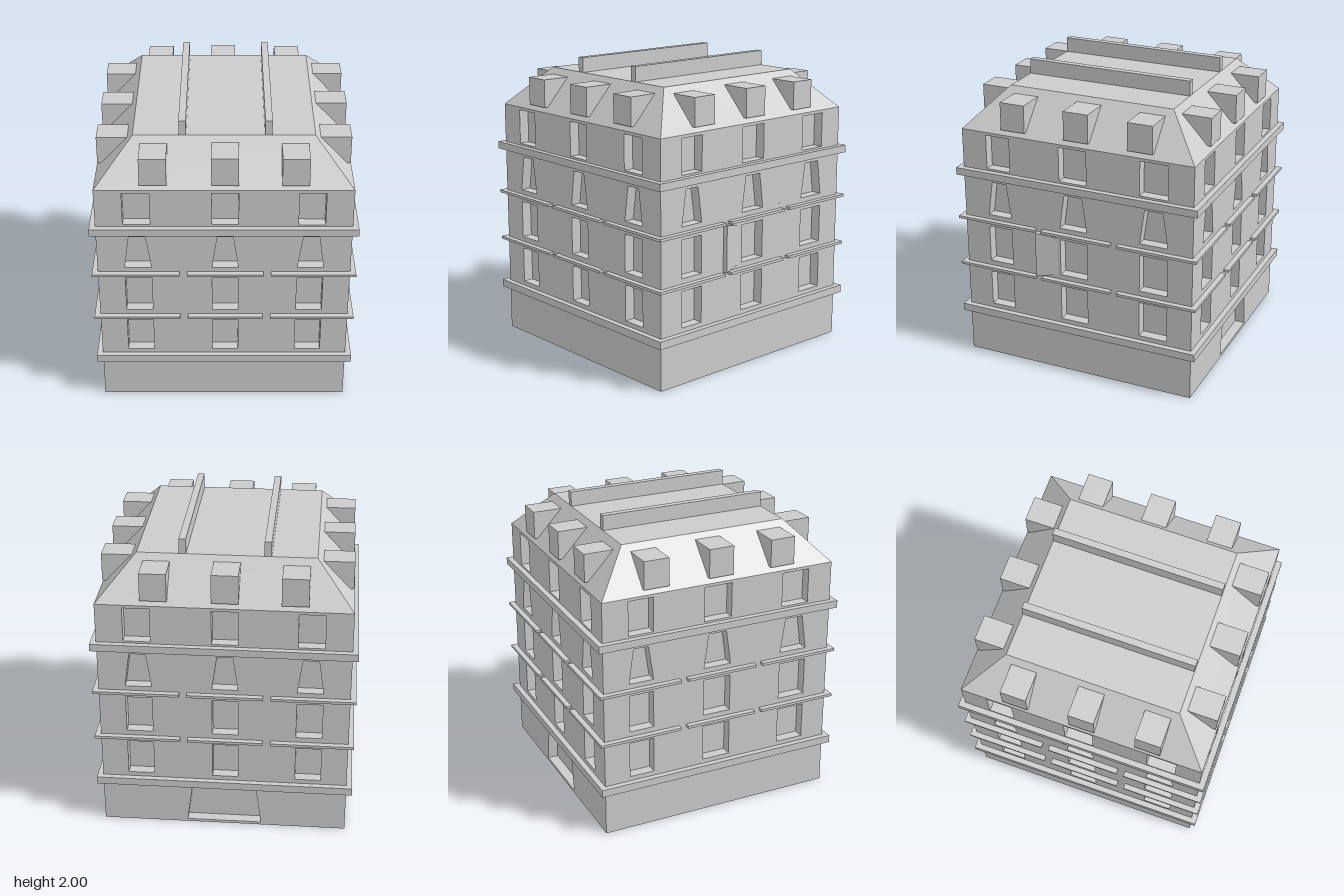
import * as THREE from 'three';
import { ConvexGeometry } from 'three/addons/geometries/ConvexGeometry.js';

const HALF = 0.82, CORE = 0.75, WALL_TOP = 1.64, ROOF_TOP = 1.9, ROOF_HALF = 0.577;
const grey = new THREE.MeshStandardMaterial({ color: 0xcccccc, flatShading: true });

function add(parent, name, geometry) {
  const mesh = new THREE.Mesh(geometry, grey);
  mesh.name = name;
  parent.add(mesh);
  return mesh;
}

// Box given by its min and max on each axis
function block(parent, name, x0, x1, y0, y1, z0, z1) {
  const geometry = new THREE.BoxGeometry(x1 - x0, y1 - y0, z1 - z0);
  geometry.translate((x0 + x1) / 2, (y0 + y1) / 2, (z0 + z1) / 2);
  return add(parent, name, geometry);
}

// Trapezoid opening with its own top and bottom half widths
function opening(x, y0, y1, bottom, top = bottom) {
  return new THREE.Path([
    new THREE.Vector2(x - bottom, y0), new THREE.Vector2(x - top, y1),
    new THREE.Vector2(x + top, y1), new THREE.Vector2(x + bottom, y0),
  ]);
}

// One facade, built facing +z and turned into place
function createFacade(index) {
  const facade = new THREE.Group();
  const isSide = index % 2 === 1;
  const w = isSide ? CORE : HALF;

  // Wall with window openings
  const shape = new THREE.Shape([
    new THREE.Vector2(-w, 0), new THREE.Vector2(w, 0),
    new THREE.Vector2(w, WALL_TOP), new THREE.Vector2(-w, WALL_TOP),
  ]);
  const columns = isSide ? [-0.558, -0.016, 0.551] : [-0.557, 0.008, 0.56];
  const halfWidths = isSide ? [0.085, 0.097, 0.097] : [0.087, 0.085, 0.085];
  columns.forEach((x, i) => {
    const h = halfWidths[i];
    shape.holes.push(
      opening(x, 0.385, 0.63, h), opening(x, 0.715, 0.97, h),
      opening(x, 1.055, 1.292, h, h - 0.034), opening(x, 1.386, 1.62, h),
    );
  });
  // Recessed entrance at the back
  if (index === 2) shape.holes.push(opening(0, 0.02, 0.285, 0.25, 0.215));
  const wall = new THREE.ExtrudeGeometry(shape, { depth: HALF - CORE, bevelEnabled: false });
  wall.translate(0, 0, CORE);
  add(facade, 'wall', wall);

  // Thin ledges in three lengths
  const end = isSide ? HALF : 0.857;
  for (const y of [0.662, 1.004]) {
    for (const [x0, x1] of [[-end, -0.29], [-0.24, 0.256], [0.306, end]]) {
      block(facade, 'ledge', x0, x1, y, y + 0.018, HALF - 0.01, 0.857);
    }
  }

  // Box dormers on the roof slope
  for (const x of [-0.445, 0.007, 0.45]) {
    const top = x === 0.007 ? 1.866 : 1.86;
    block(facade, 'dormer', x - 0.086, x + 0.086, 1.672, top, 0.56, 0.813);
  }
  facade.rotation.y = index * Math.PI / 2;
  return facade;
}

export function createModel() {
  const model = new THREE.Group();
  model.name = 'building';

  // Solid core behind the window openings
  block(model, 'core', -CORE, CORE, 0, WALL_TOP, -CORE, CORE);

  ['frontFacade', 'leftFacade', 'backFacade', 'rightFacade'].forEach((name, i) => {
    const facade = createFacade(i);
    facade.name = name;
    model.add(facade);
  });

  // Continuous cornices, four strips each so the windows stay hollow
  for (const [y0, y1] of [[0.302, 0.354], [1.322, 1.372]]) {
    for (const s of [-1, 1]) {
      const a = s * 0.8, b = s * 0.858;
      const lo = Math.min(a, b), hi = Math.max(a, b);
      block(model, 'cornice', -0.858, 0.858, y0, y1, lo, hi);
      block(model, 'cornice', lo, hi, y0, y1, -0.8, 0.8);
    }
  }

  // Sloped roof with a flat top
  const roof = new THREE.CylinderGeometry(
    ROOF_HALF * Math.SQRT2, HALF * Math.SQRT2, ROOF_TOP - WALL_TOP, 4);
  roof.rotateY(Math.PI / 4);
  roof.translate(0, (ROOF_TOP + WALL_TOP) / 2, 0);
  add(model, 'roof', roof);

  // Two long ridges on the flat top
  for (const x of [-0.263, 0.282]) {
    block(model, 'roofRidge', x - 0.023, x + 0.023, ROOF_TOP - 0.01, 2, -ROOF_HALF, ROOF_HALF);
  }

  // Wedge beside the middle window of the left wall
  const wedge = [];
  for (const [x, y0, y1, z] of [[0.855, 0.683, 1.002, 0.28], [0.815, 0.683, 1.002, 0.28], [0.815, 0.715, 0.97, 0.113]]) {
    wedge.push(new THREE.Vector3(x, y0, z), new THREE.Vector3(x, y1, z));
  }
  add(model, 'wallWedge', new ConvexGeometry(wedge));

  return model;
}
